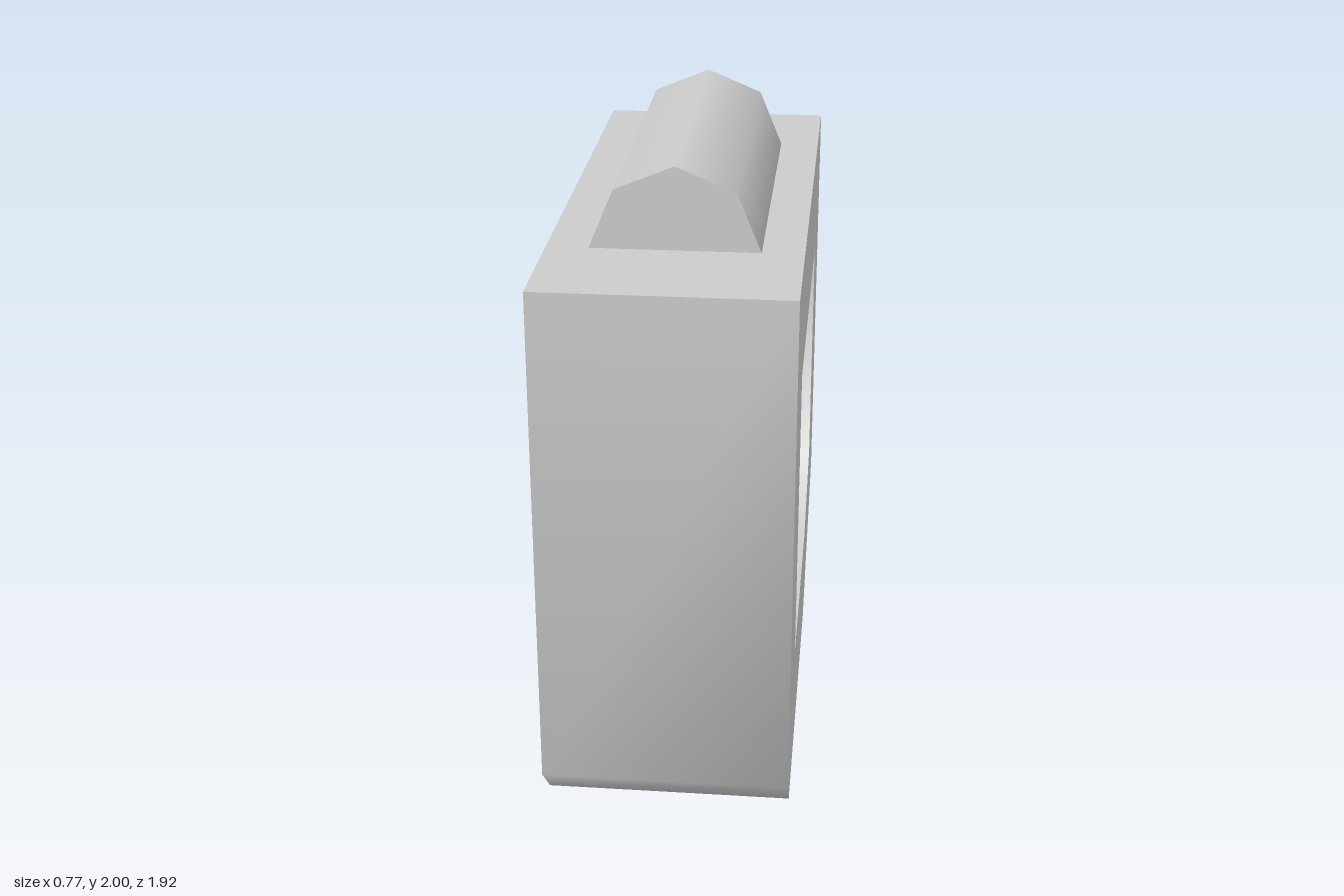
import * as THREE from 'three';
import { toCreasedNormals } from 'three/addons/utils/BufferGeometryUtils.js';

const WIDTH = 0.77, WEB = 0.257, TOP = 1.745;

// Side outlines as [z, y]
const OUTER = [[0.96, 0.13], [0.96, TOP], [-0.96, TOP], [-0.96, 0.325], [-0.32, 0], [0.835, 0]];
const INNER = [[0.578, 0.387], [0.578, 1.36], [-0.578, 1.36], [-0.578, 0.563], [-0.226, 0.387]];
const points = (list) => list.map(([z, y]) => new THREE.Vector2(z, y));

// Extrudes a side outline across x, centred
function slab(outline, depth, hole) {
  const shape = new THREE.Shape(points(outline));
  if (hole) shape.holes.push(new THREE.Path(points(hole)));
  const geometry = new THREE.ExtrudeGeometry(shape, { depth, bevelEnabled: false });
  geometry.translate(0, 0, -depth / 2);
  geometry.rotateY(-Math.PI / 2);
  return toCreasedNormals(geometry, 1.2);
}

export function createModel() {
  const group = new THREE.Group();
  const material = new THREE.MeshStandardMaterial({ color: 0xcccccc });
  const add = (name, geometry) => {
    const mesh = new THREE.Mesh(geometry, material);
    mesh.name = name;
    group.add(mesh);
    return mesh;
  };

  // Thick outer frame with a chamfered toe and sloped rear
  add('frame', slab(OUTER, WIDTH, INNER));

  // Thin middle wall, leaving an equal recess on both sides
  add('recessedPanel', slab(INNER, WEB));

  // Half-octagon ridge lying along the top
  const ridge = new THREE.CylinderGeometry(0.257, 0.257, 1.155, 4, 1, false, Math.PI / 2, Math.PI);
  ridge.rotateX(Math.PI / 2);
  add('topRidge', ridge).position.y = TOP;

  return group;
}
